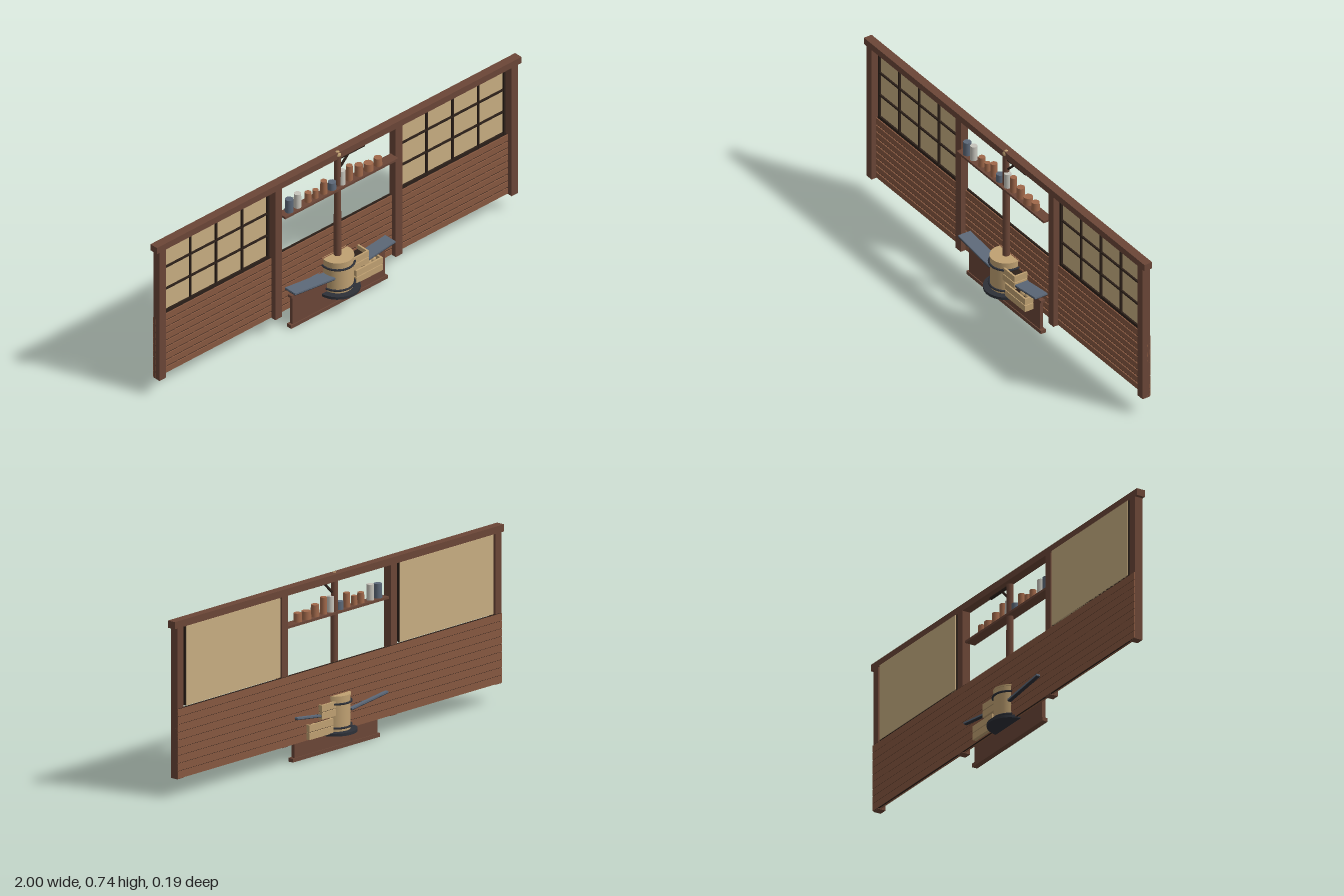
import * as THREE from 'three';

const mat = (name, color) => new THREE.MeshStandardMaterial({ name, color });

export function createModel() {
  const M = {
    wood: mat('darkWood', 0x6b4637),
    plank: mat('plankWood', 0x875840),
    dark: mat('darkTrim', 0x2c2019),
    paper: mat('paper', 0xc8ae82),
    tan: mat('paleWood', 0xc0a172),
    iron: mat('iron', 0x2d3038),
    slate: mat('slateBlue', 0x5c6878),
    white: mat('glazeWhite', 0xc6c4bb),
    clay: mat('clay', 0xa0684a),
  };
  const model = new THREE.Group();
  model.name = 'shopFront';

  const add = (name, geo, m, x = 0, y = 0, z = 0, parent = model) => {
    const mesh = new THREE.Mesh(geo, m);
    mesh.name = name;
    mesh.position.set(x, y, z);
    parent.add(mesh);
    return mesh;
  };
  // Box given by its limits on each axis
  const box = (name, m, x0, x1, y0, y1, z0, z1, parent) =>
    add(name, new THREE.BoxGeometry(x1 - x0, y1 - y0, z1 - z0), m,
      (x0 + x1) / 2, (y0 + y1) / 2, (z0 + z1) / 2, parent);
  const cyl = (name, m, r0, r1, y0, y1, x = 0, z = 0, sides = 32) =>
    add(name, new THREE.CylinderGeometry(r1, r0, y1 - y0, sides), m, x, (y0 + y1) / 2, z);

  // Timber frame
  box('topBeam', M.wood, -1, 1, 0.712, 0.742, -0.028, 0.01);
  for (const x of [-0.966, -0.33, 0.33, 0.966])
    box('post', M.wood, x - 0.018, x + 0.018, 0.08, 0.713, -0.028, 0.008);

  // Horizontal plank wall with dark seams
  const rows = 9, y0 = 0.083, pitch = 0.0325;
  box('wallBacking', M.dark, -0.98, 0.98, y0, 0.375, -0.0295, -0.022);
  for (let i = 0; i < rows; i++)
    box('plank', M.plank, -0.984, 0.984, y0 + i * pitch, y0 + i * pitch + (i === rows - 1 ? 0.029 : 0.0255), -0.019, -0.014);
  for (let i = 0; i < rows; i++)
    box('rearPlank', M.plank, -0.984, 0.984, y0 + i * pitch, y0 + i * pitch + 0.0305, -0.031, -0.026);

  // Paper lattice screens
  for (const cx of [-0.648, 0.648]) {
    const g = new THREE.Group();
    g.name = 'screen';
    model.add(g);
    const w = 0.288, lo = 0.38, hi = 0.712;
    box('paperPanel', M.paper, cx - w + 0.003, cx + w - 0.003, lo, hi, -0.031, -0.024, g);
    for (let i = 0; i <= 4; i++) {
      const t = i % 4 ? 0.0035 : 0.005, x = cx - w + 0.005 + (i / 4) * (2 * w - 0.01);
      box('latticeUpright', M.dark, x - t, x + t, lo, hi, -0.028, -0.015, g);
    }
    for (let i = 0; i <= 3; i++) {
      const t = i % 3 ? 0.0035 : 0.005, y = lo + 0.005 + (i / 3) * (hi - lo - 0.01);
      box('latticeRail', M.dark, cx - w, cx + w, y - t, y + t, -0.028, -0.016, g);
    }
  }

  // Shelf with jars: centre x, radius, height, colour
  box('shelf', M.wood, -0.312, 0.308, 0.569, 0.579, -0.018, 0.028);
  const jars = [
    [-0.27, 0.018, 0.06, 'slate'], [-0.224, 0.016, 0.066, 'white'], [-0.166, 0.015, 0.044, 'clay'],
    [-0.126, 0.013, 0.038, 'clay'], [-0.08, 0.015, 0.06, 'clay'], [-0.035, 0.018, 0.034, 'slate'],
    [0.018, 0.016, 0.066, 'white'], [0.06, 0.015, 0.07, 'clay'], [0.112, 0.018, 0.05, 'clay'],
    [0.165, 0.021, 0.034, 'clay'], [0.217, 0.018, 0.036, 'clay'],
  ];
  for (const [x, r, h, c] of jars) cyl('jar', M[c], r, r * 0.93, 0.579, 0.579 + h, x, 0.005, 16);

  // Central pole with finial and bracket
  cyl('pole', M.wood, 0.016, 0.014, 0.235, 0.728, 0, 0, 16);
  add('finial', new THREE.SphereGeometry(0.015, 16, 12), M.tan, 0, 0.729, 0);
  box('bracketArm', M.dark, 0, 0.145, 0.702, 0.711, -0.005, 0.005);
  const brace = box('bracketBrace', M.dark, -0.03, 0.03, -0.004, 0.004, -0.004, 0.004);
  brace.position.set(0.036, 0.682, 0);
  brace.rotation.z = Math.PI / 4;

  // Upright board under the barrel
  box('board', M.wood, -0.254, 0.252, 0.012, 0.152, -0.008, 0.008);
  box('boardFoot', M.wood, -0.265, 0.265, 0, 0.016, -0.012, 0.012);
  box('boardLip', M.wood, -0.262, 0.262, 0.146, 0.158, -0.01, 0.01);

  // Barrel with hoops and base ring
  cyl('barrel', M.tan, 0.066, 0.066, 0.085, 0.232);
  cyl('barrelLid', M.tan, 0.068, 0.068, 0.231, 0.238);
  cyl('barrelBase', M.iron, 0.094, 0.094, 0.078, 0.09);
  for (const y of [0.105, 0.206]) {
    const hoop = add('hoop', new THREE.TorusGeometry(0.07, 0.0045, 8, 40), M.iron, 0, y, 0);
    hoop.rotation.x = Math.PI / 2;
  }

  // Raised blades on both sides
  for (const s of [-1, 1]) {
    const blade = add('blade', new THREE.BoxGeometry(0.222, 0.007, 0.094), M.slate, s * 0.165, 0.179, 0);
    blade.rotation.z = s * 0.12;
    const edge = add('bladeUnderside', new THREE.BoxGeometry(0.22, 0.003, 0.092), M.iron, s * 0.165, 0.174, 0);
    edge.rotation.z = s * 0.12;
  }

  // Open slatted trays beside the barrel
  const tray = (x0, x1, yLow, yHigh) => {
    const g = new THREE.Group();
    g.name = 'tray';
    model.add(g);
    const h = (yHigh - yLow - 0.004) / 2;
    box('trayFloor', M.tan, x0, x1, yLow, yLow + 0.006, -0.045, 0.045, g);
    for (const y of [yLow, yLow + h + 0.004]) {
      for (const z of [-0.044, 0.044]) box('traySlat', M.tan, x0, x1, y, y + h, z - 0.004, z + 0.004, g);
      for (const x of [x0 + 0.004, x1 - 0.004]) box('trayEnd', M.tan, x - 0.004, x + 0.004, y, y + h, -0.04, 0.04, g);
    }
    box('trayCore', M.dark, x0 + 0.006, x1 - 0.006, yLow + 0.004, yHigh - 0.02, -0.042, 0.042, g);
  };
  tray(0.06, 0.205, 0.088, 0.15);
  tray(0.035, 0.13, 0.158, 0.218);
  for (const [x, z] of [[0.15, 0.018], [0.178, 0.014], [0.165, -0.018]])
    add('bun', new THREE.SphereGeometry(0.015, 14, 10), M.tan, x, 0.141, z);

  return model;
}
